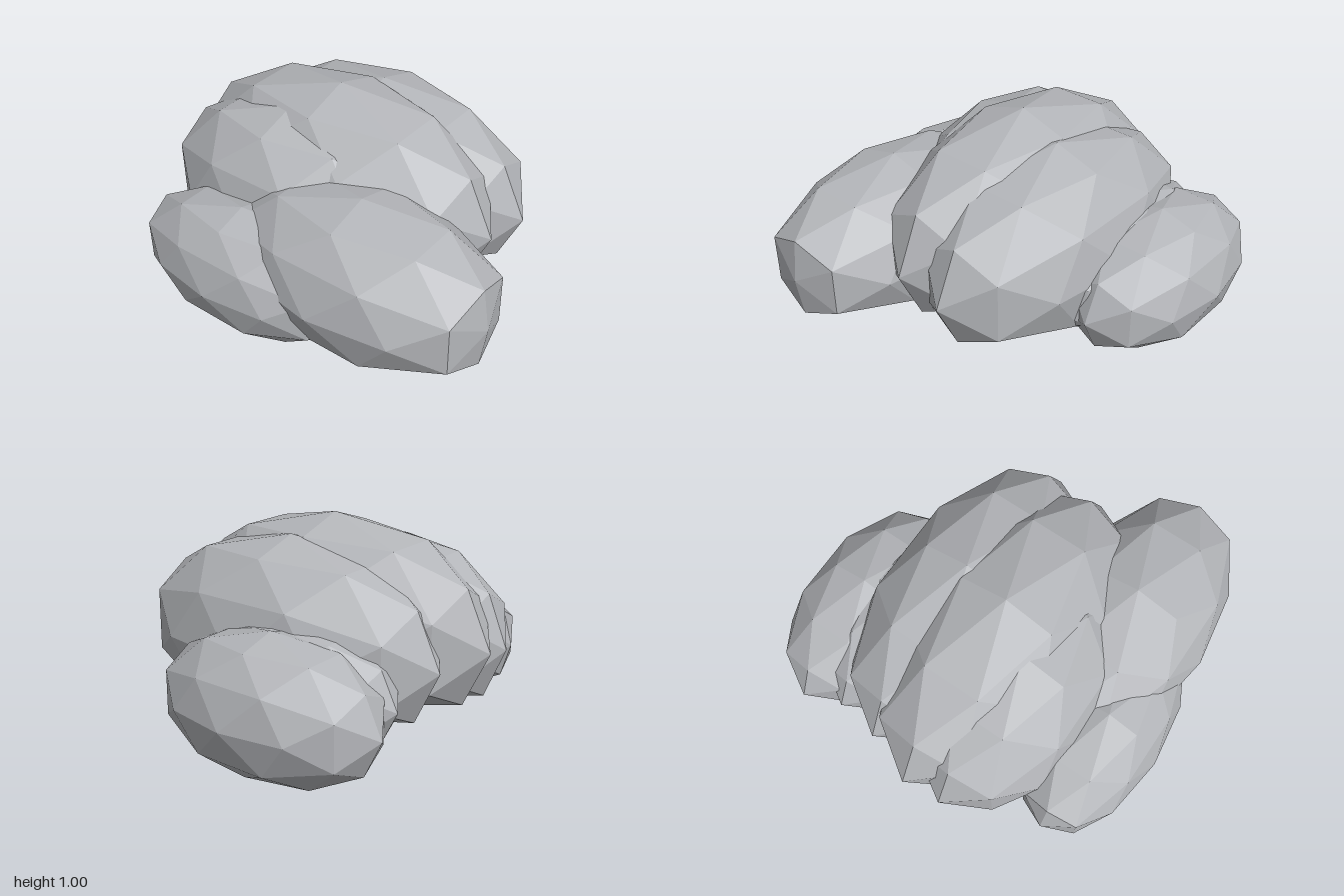
import * as THREE from 'three';

const grey = new THREE.MeshStandardMaterial({ color: 0xb4b6ba, flatShading: true });
grey.name = 'stone grey';

// Faceted ellipsoid, pressed flat below at height floor and blunted at the zMin and zMax ends
function lobe(name, center, radii, floor, zMin = -1, zMax = 1) {
  const geo = new THREE.IcosahedronGeometry(1, 1);
  geo.scale(...radii);
  geo.translate(...center);
  const p = geo.attributes.position;
  for (let i = 0; i < p.count; i++) {
    p.setY(i, Math.max(p.getY(i), floor));
    p.setZ(i, THREE.MathUtils.clamp(p.getZ(i), zMin, zMax));
  }
  geo.computeVertexNormals();
  const mesh = new THREE.Mesh(geo, grey);
  mesh.name = name;
  return mesh;
}

export function createModel() {
  const group = new THREE.Group();
  group.name = 'boulderCluster';
  group.add(
    // tall middle ridges
    lobe('middleBoulder', [-0.06, 0.47, -0.13], [0.47, 0.53, 0.87], 0.16),
    lobe('middleLeftBoulder', [0.2, 0.43, -0.07], [0.45, 0.5, 0.83], 0.15),
    lobe('middleRightBoulder', [-0.25, 0.43, -0.28], [0.43, 0.48, 0.7], 0.15),
    // front boulder
    lobe('frontRightBoulder', [-0.5, 0.38, 0.33], [0.42, 0.4, 0.75], 0.1),
    // low outer boulders
    lobe('outerLeftBoulder', [0.65, 0.28, -0.325], [0.35, 0.35, 0.585], 0.01),
    lobe('outerRightBoulder', [-0.7, 0.28, -0.21], [0.3, 0.33, 0.61], 0, -0.78),
    lobe('lowerLeftBoulder', [0.45, 0.32, -0.27], [0.33, 0.33, 0.58], 0.03),
  );
  return group;
}
